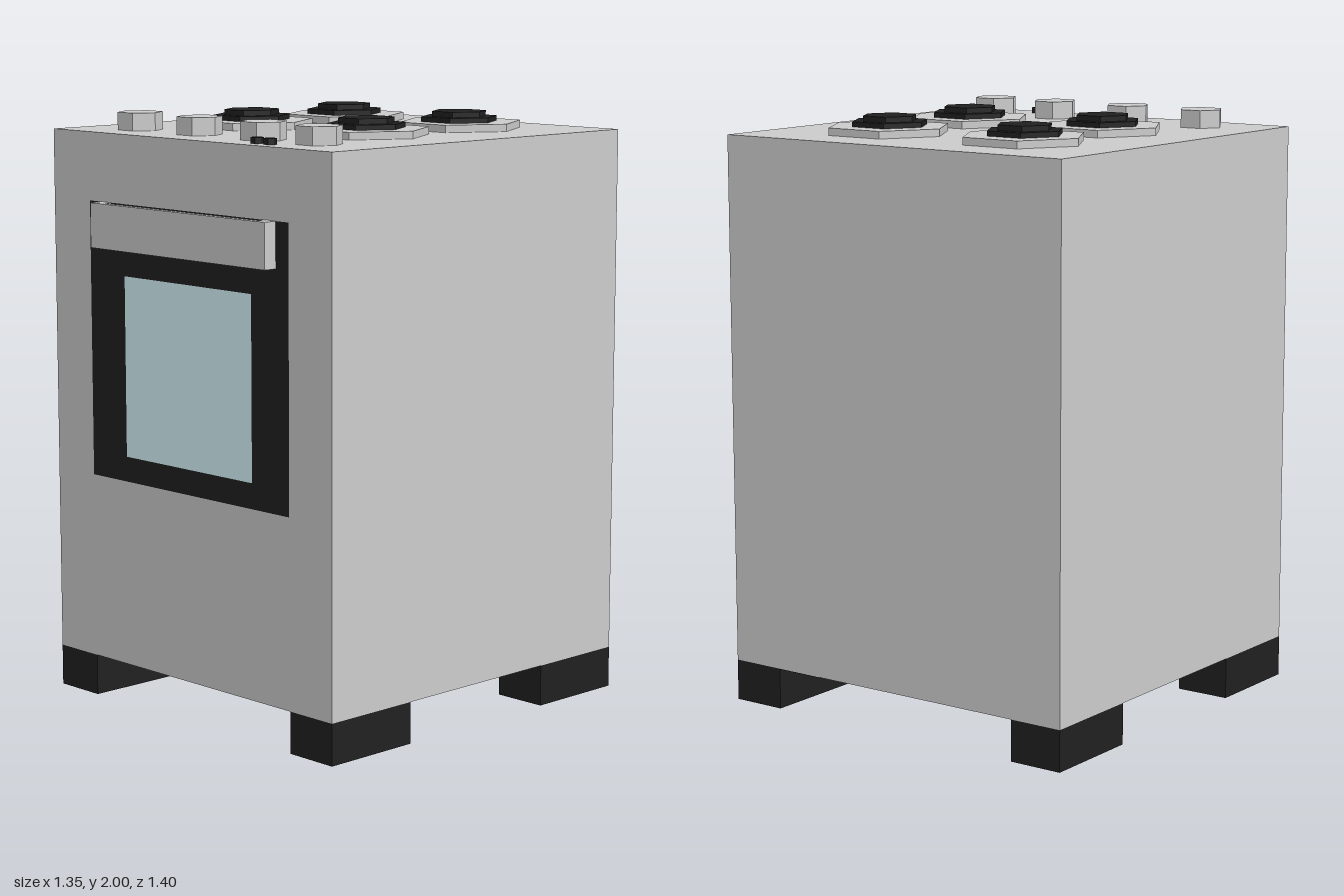
import * as THREE from 'three';

const mat = (color) => new THREE.MeshStandardMaterial({ color, flatShading: true });

export function createModel() {
  const group = new THREE.Group();
  const grey = mat(0xcccccc);
  const black = mat(0x202020);
  const glass = mat(0xd8f5fc);

  const add = (name, geometry, material) => {
    const mesh = new THREE.Mesh(geometry, material);
    mesh.name = name;
    group.add(mesh);
    return mesh;
  };
  // Box given by its extents on each axis
  const box = (name, material, [x0, x1], [y0, y1], [z0, z1]) =>
    add(name, new THREE.BoxGeometry(x1 - x0, y1 - y0, z1 - z0), material)
      .position.set((x0 + x1) / 2, (y0 + y1) / 2, (z0 + z1) / 2);
  // Upright hexagonal prism with corners pointing along x
  const hex = (name, material, x, z, radius, y0, y1) =>
    add(name, new THREE.CylinderGeometry(radius, radius, y1 - y0, 6, 1, false, Math.PI / 2), material)
      .position.set(x, (y0 + y1) / 2, z);

  const top = 1.94;
  box('body', grey, [-0.675, 0.675], [0.14, top], [-0.697, 0.65]);

  // Feet under the four corners
  for (const [x0, x1] of [[-0.675, -0.485], [0.485, 0.675]]) {
    box('frontFoot', black, [x0, x1], [0, 0.14], [0.295, 0.65]);
    box('backFoot', black, [x0, x1], [0, 0.14], [-0.697, -0.34]);
  }
  // Flat pad on the underside beside the left back foot
  box('footPad', black, [0.31, 0.485], [0.138, 0.14], [-0.697, -0.34]);

  // Oven door frame with an opening for the window
  const frame = new THREE.Shape([[-0.485, 0.775], [0.483, 0.775], [0.483, 1.71], [-0.485, 1.71]]
    .map(([x, y]) => new THREE.Vector2(x, y)));
  const pane = [[-0.31, 0.86], [-0.31, 1.47], [0.31, 1.47], [0.31, 0.86]]
    .map(([x, y]) => new THREE.Vector2(x, y));
  frame.holes.push(new THREE.Path(pane));
  add('doorFrame', new THREE.ShapeGeometry(frame), black).position.z = 0.652;
  add('doorWindow', new THREE.ShapeGeometry(new THREE.Shape(pane)), glass).position.z = 0.652;

  // U-shaped door handle, drawn in plan and extruded upwards
  const handle = new THREE.Shape([
    [-0.425, 0.65], [-0.425, 0.7], [0.425, 0.7], [0.425, 0.65],
    [0.375, 0.65], [0.375, 0.677], [-0.375, 0.677], [-0.375, 0.65],
  ].map(([x, z]) => new THREE.Vector2(x, -z)));
  const handleGeo = new THREE.ExtrudeGeometry(handle, { depth: 0.15, bevelEnabled: false });
  add('doorHandle', handleGeo.rotateX(-Math.PI / 2), grey).position.y = 1.56;

  // Burners: grey plate, black ring and black cap
  for (const x of [-0.278, 0.276]) {
    for (const [plateZ, capZ] of [[-0.343, -0.337], [0.105, 0.105]]) {
      hex('burnerPlate', grey, x, plateZ, 0.2 * 1.065, top, 1.965);
      hex('burnerRing', black, x, capZ, 0.133, 1.965, 1.982);
      hex('burnerCap', black, x, capZ, 0.095, 1.982, 2);
    }
  }

  // Control knobs and two small buttons
  for (const x of [-0.435, -0.135, 0.175, 0.433]) hex('knob', grey, x, 0.47, 0.077, top, 2);
  for (const x of [0.273, 0.333]) hex('button', black, x, 0.588, 0.022, top, 1.96);

  return group;
}
